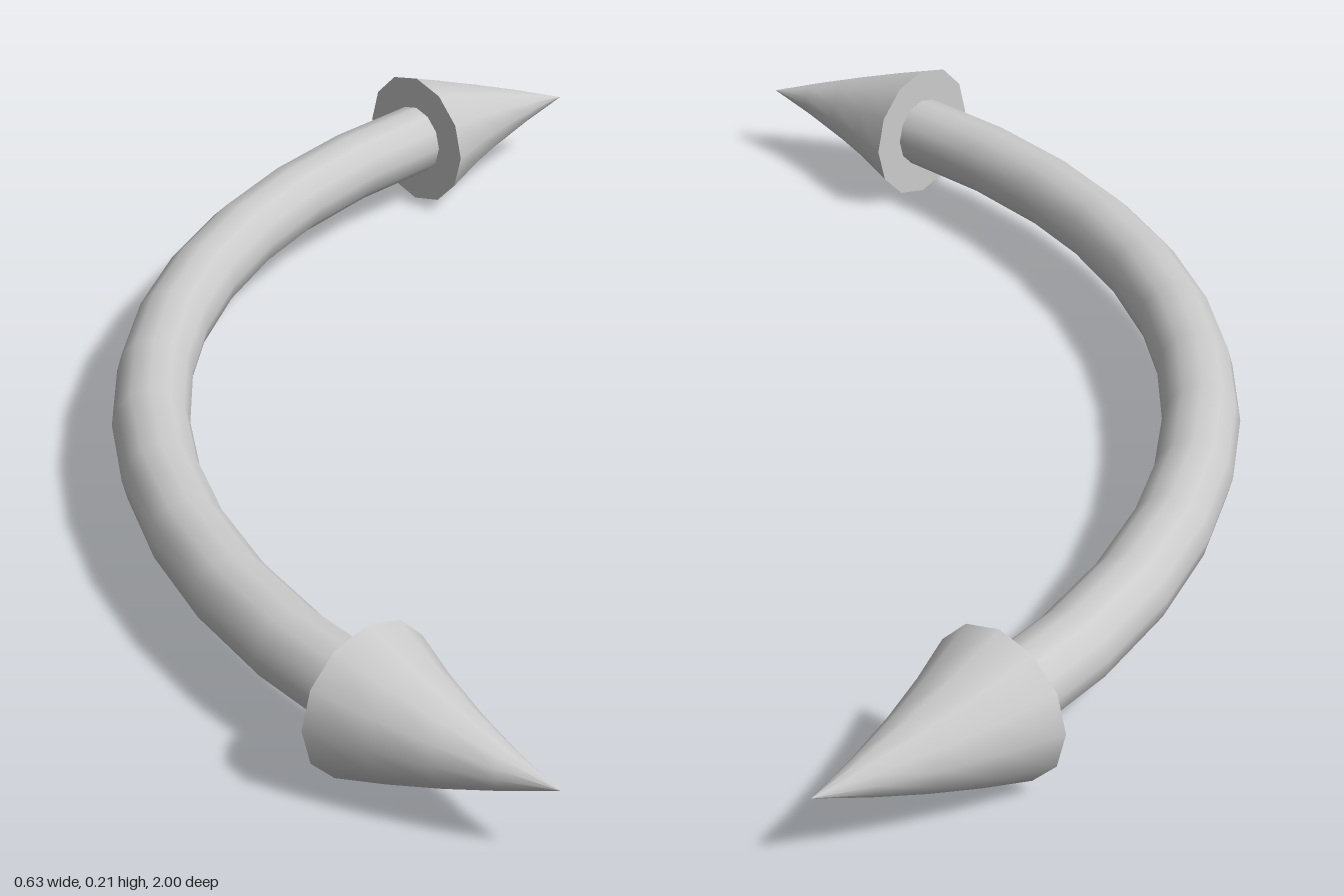
import * as THREE from 'three';

const R = 1.16;          // radius of the bow's centre line
const CX = 0.9;          // x of the arc centre
const Y = 0.105;         // height of the centre line
const HALF = Math.PI / 4; // shaft covers 45 degrees to each side
const TIP = Math.asin(1 / R); // angle at which the tips reach z = +-1

// Bends a geometry standing on y = 0 along the arc, starting at the shaft's end
function bendAlongArc(geometry) {
  const pos = geometry.attributes.position;
  const nor = geometry.attributes.normal;
  for (let i = 0; i < pos.count; i++) {
    const a = HALF + pos.getY(i) / R;
    const c = Math.cos(a), s = Math.sin(a);
    const r = R + pos.getX(i);
    pos.setXYZ(i, CX - r * c, -pos.getZ(i), -r * s);
    const nx = nor.getX(i), ny = nor.getY(i);
    nor.setXYZ(i, -nx * c + ny * s, -nor.getZ(i), -nx * s - ny * c);
  }
  return geometry;
}

export function createModel() {
  const group = new THREE.Group();
  group.name = 'curvedDoubleArrow';
  const material = new THREE.MeshStandardMaterial({ color: 0xcccccc });

  // Curved shaft: a quarter torus lying flat
  const shaftGeometry = new THREE.TorusGeometry(R, 0.054, 12, 12, 2 * HALF);
  shaftGeometry.rotateZ(Math.PI - HALF).rotateX(Math.PI / 2);
  const shaft = new THREE.Mesh(shaftGeometry, material);
  shaft.name = 'shaft';
  shaft.position.set(CX, Y, 0);
  group.add(shaft);

  // Arrowheads: cones that carry on the curve, one at each end
  const length = R * (TIP - HALF);
  const headGeometry = new THREE.ConeGeometry(0.105, length, 12, 4);
  headGeometry.translate(0, length / 2, 0);
  bendAlongArc(headGeometry);
  for (const [name, turn] of [['backArrowhead', 0], ['frontArrowhead', Math.PI]]) {
    const head = new THREE.Mesh(headGeometry, material);
    head.name = name;
    head.position.y = Y;
    head.rotation.x = turn;
    group.add(head);
  }
  return group;
}
